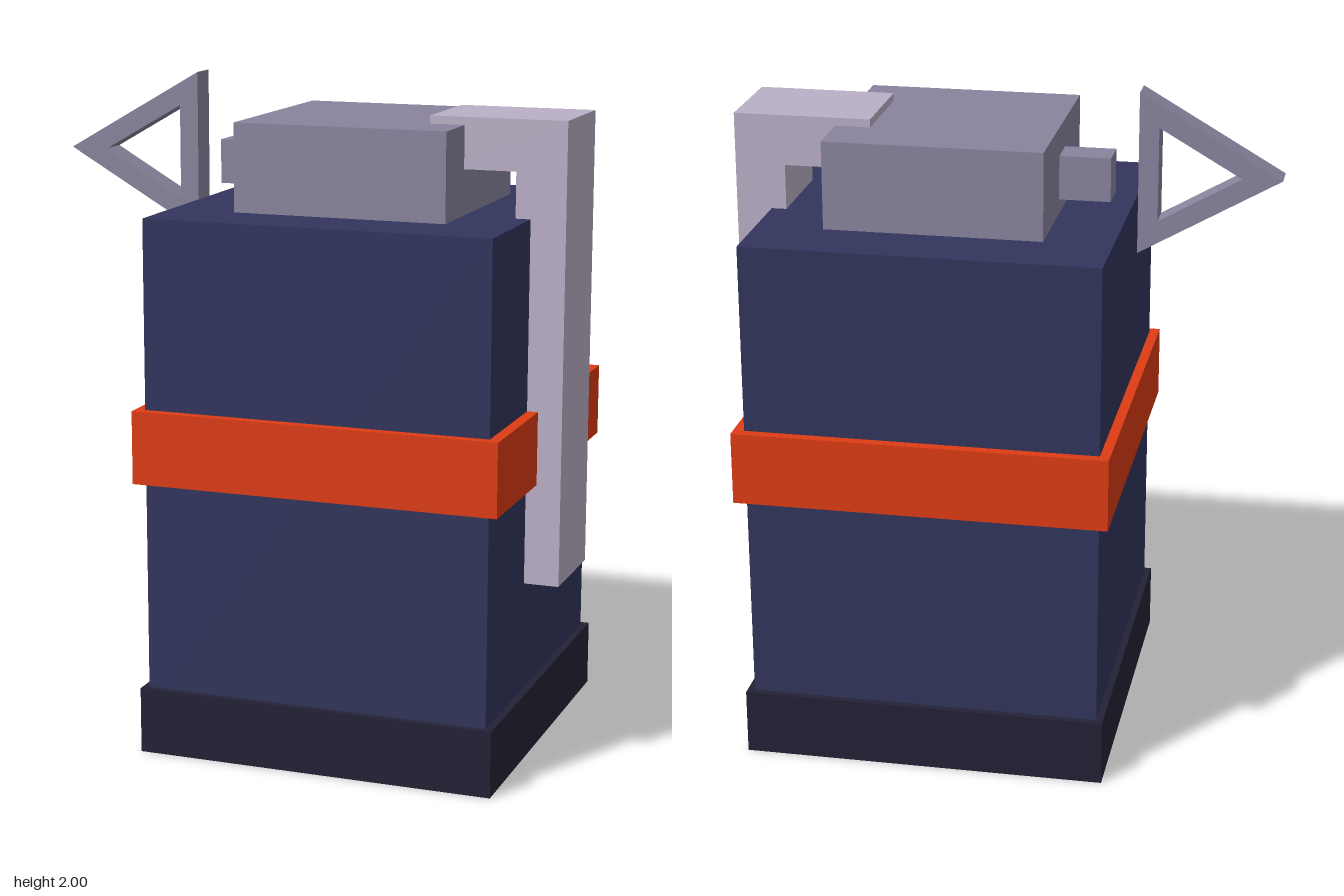
import * as THREE from 'three';

const mat = (color) => new THREE.MeshStandardMaterial({ color, flatShading: true });

// Box given by its extents in x and y and its half depth in z
function block(name, x0, x1, y0, y1, halfZ, material) {
  const mesh = new THREE.Mesh(new THREE.BoxGeometry(x1 - x0, y1 - y0, halfZ * 2), material);
  mesh.position.set((x0 + x1) / 2, (y0 + y1) / 2, 0);
  mesh.name = name;
  return mesh;
}

// Extruded outline centred on z = 0
function plate(name, points, hole, halfZ, material) {
  const toVectors = (list) => list.map(([x, y]) => new THREE.Vector2(x, y));
  const shape = new THREE.Shape(toVectors(points));
  if (hole) shape.holes.push(new THREE.Path(toVectors(hole)));
  const geometry = new THREE.ExtrudeGeometry(shape, { depth: halfZ * 2, bevelEnabled: false });
  geometry.translate(0, 0, -halfZ);
  const mesh = new THREE.Mesh(geometry, material);
  mesh.name = name;
  return mesh;
}

export function createModel() {
  const group = new THREE.Group();
  group.name = 'canister';
  const navy = mat(0x32345c);
  const dark = mat(0x232135);
  const orange = mat(0xdd3c14);
  const grey = mat(0x89849d);
  const pale = mat(0xbab0c6);

  // Canister body with foot and coloured band
  group.add(
    block('base', -0.375, 0.722, 0, 0.2, 0.549, dark),
    block('body', -0.355, 0.7, 0.1, 1.622, 0.528, navy),
    block('band', -0.385, 0.733, 0.835, 1.055, 0.559, orange),
  );

  // Valve head and pin stub
  group.add(
    block('head', -0.152, 0.498, 1.62, 1.886, 0.325, grey),
    block('pin', -0.306, -0.15, 1.667, 1.8, 0.053, grey),
  );

  // Bent safety lever
  group.add(plate('lever', [
    [0.393, 1.91], [0.393, 1.758], [0.655, 1.758],
    [0.655, 0.53], [0.806, 0.53], [0.806, 1.91],
  ], null, 0.153, pale));

  // Triangular pull ring
  group.add(plate('pullRing',
    [[-0.81, 1.755], [-0.386, 1.511], [-0.386, 2.0]],
    [[-0.691, 1.755], [-0.445, 1.897], [-0.445, 1.613]],
    0.043, grey));

  return group;
}
